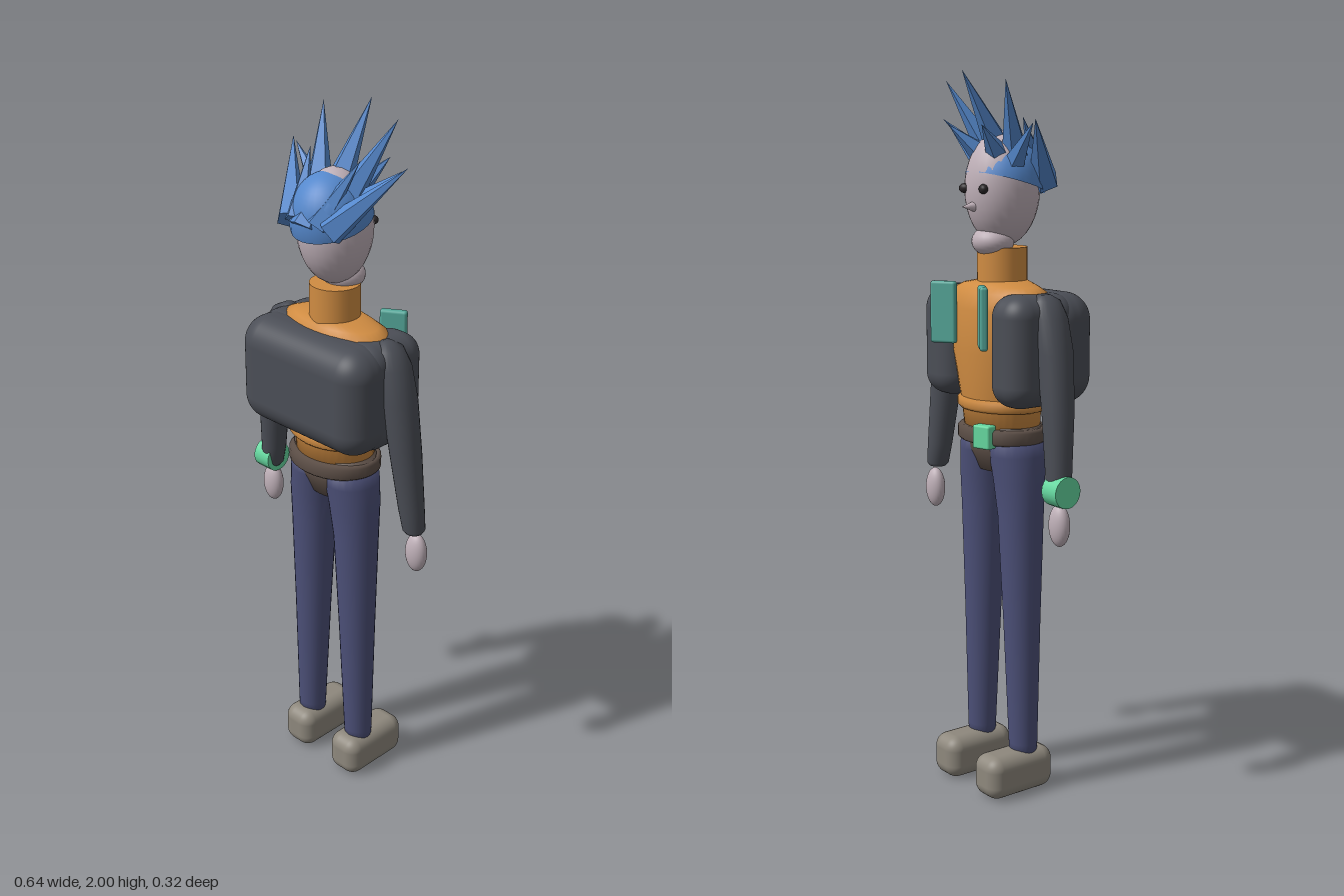
import * as THREE from 'three';
import { RoundedBoxGeometry } from 'three/addons/geometries/RoundedBoxGeometry.js';

const COLORS = {
  skin: 0xbfb0b8, hair: 0x5588cc, shirt: 0xd08c42, jacket: 0x4b4e56, jeans: 0x4c5078,
  belt: 0x5e5048, shoe: 0x8e887d, teal: 0x55a89a, green: 0x66d8a0, eye: 0x2a2628,
};

// Closed loft through oval cross-sections [x, y, z, rx, rz], listed from bottom to top
function loft(sections, n = 24) {
  const first = sections[0], last = sections[sections.length - 1];
  const rings = [[first[0], first[1], first[2], 0, 0], ...sections, [last[0], last[1], last[2], 0, 0]];
  const pos = [], index = [];
  rings.forEach(([x, y, z, rx, rz], i) => {
    for (let j = 0; j < n; j++) {
      const t = (j / n) * Math.PI * 2;
      pos.push(x + Math.cos(t) * rx, y, z + Math.sin(t) * rz);
      if (i < rings.length - 1) {
        const a = i * n + j, c = i * n + (j + 1) % n;
        index.push(a, a + n, c, c, a + n, c + n);
      }
    }
  });
  const g = new THREE.BufferGeometry();
  g.setAttribute('position', new THREE.Float32BufferAttribute(pos, 3));
  g.setIndex(index);
  g.computeVertexNormals();
  return g;
}

export function createModel() {
  const model = new THREE.Group();
  model.name = 'figure';
  const mats = {};
  for (const key in COLORS) mats[key] = new THREE.MeshStandardMaterial({ color: COLORS[key] });
  const spikeMat = new THREE.MeshStandardMaterial({ color: COLORS.hair, flatShading: true });

  function add(name, geometry, mat, x = 0, y = 0, z = 0) {
    const m = new THREE.Mesh(geometry, mats[mat] || mat);
    m.name = name;
    m.position.set(x, y, z);
    model.add(m);
    return m;
  }
  function ball(name, mat, x, y, z, rx, ry, rz) {
    const m = add(name, new THREE.SphereGeometry(1, 28, 18), mat, x, y, z);
    m.scale.set(rx, ry, rz);
    return m;
  }
  const mirrored = (fn) => [['left', 1], ['right', -1]].forEach(([side, s]) => fn(side, s));
  const mirrorX = (sections, s) => sections.map(([x, ...rest]) => [x * s, ...rest]);

  // Legs and shoes
  const leg = [
    [0.097, 0.10, 0, 0.040, 0.038], [0.097, 0.14, 0, 0.042, 0.040], [0.090, 0.50, 0, 0.053, 0.052],
    [0.084, 0.80, 0, 0.064, 0.064], [0.077, 0.90, 0, 0.072, 0.072], [0.068, 0.97, 0, 0.074, 0.079],
    [0.060, 1.02, 0, 0.072, 0.082],
  ];
  mirrored((side, s) => {
    add(side + 'Leg', loft(mirrorX(leg, s)), 'jeans');
    add(side + 'Shoe', new RoundedBoxGeometry(0.11, 0.122, 0.222, 5, 0.038), 'shoe', s * 0.097, 0.063, -0.034);
  });

  // Hips, belt and buckle
  add('hips', loft([[0, 0.92, 0, 0.085, 0.06], [0, 0.98, 0, 0.125, 0.082], [0, 1.05, 0, 0.134, 0.09]], 32), 'belt');
  add('belt', loft([
    [0, 1.003, 0, 0.133, 0.106], [0, 1.01, 0, 0.141, 0.113],
    [0, 1.038, 0, 0.141, 0.113], [0, 1.046, 0, 0.133, 0.106],
  ], 32), 'belt');
  add('buckle', new RoundedBoxGeometry(0.058, 0.065, 0.035, 2, 0.006), 'green', -0.05, 1.027, -0.1).rotation.y = 0.25;

  // Shirt with ribbed hem and high collar
  add('shirt', loft([
    [0, 1.03, 0, 0.118, 0.095], [0, 1.12, -0.003, 0.125, 0.103], [0, 1.25, -0.008, 0.16, 0.112],
    [0, 1.37, -0.008, 0.186, 0.108], [0, 1.415, -0.006, 0.182, 0.09], [0, 1.432, -0.004, 0.14, 0.075],
    [0, 1.445, 0, 0.07, 0.066],
  ], 36), 'shirt');
  add('hem', loft([
    [0, 1.092, 0, 0.134, 0.106], [0, 1.1, 0, 0.142, 0.113],
    [0, 1.118, 0, 0.142, 0.113], [0, 1.126, 0, 0.134, 0.106],
  ], 32), 'shirt');
  add('collar', new THREE.CylinderGeometry(0.069, 0.069, 0.135, 28), 'shirt', 0, 1.467, 0);

  // Open jacket: bulky back, two front panels, chest flaps
  add('jacketBack', new RoundedBoxGeometry(0.458, 0.303, 0.165, 8, 0.075), 'jacket', 0, 1.268, 0.078);
  mirrored((side, s) => {
    add(side + 'JacketFront', new RoundedBoxGeometry(0.145, 0.303, 0.225, 7, 0.06), 'jacket', s * 0.152, 1.268, -0.013);
    add(side + 'ChestFlap', new RoundedBoxGeometry(0.075, 0.17, 0.022, 3, 0.008), 'teal', s * 0.089, 1.357, -0.133)
      .rotation.y = s * 0.55;
  });

  // Sleeves and hands
  const sleeve = [
    [0.282, 0.880, -0.022, 0.024, 0.024], [0.281, 0.890, -0.022, 0.031, 0.032], [0.272, 0.95, -0.02, 0.036, 0.036],
    [0.255, 1.12, -0.01, 0.044, 0.044], [0.235, 1.27, -0.004, 0.048, 0.050], [0.212, 1.36, -0.004, 0.046, 0.050],
    [0.195, 1.405, -0.004, 0.034, 0.040], [0.185, 1.42, -0.004, 0.015, 0.018],
  ];
  mirrored((side, s) => {
    add(side + 'Sleeve', loft(mirrorX(sleeve, s)), 'jacket');
    ball(side + 'Hand', 'skin', s * 0.286, 0.815, -0.028, 0.034, 0.058, 0.025);
  });
  add('wristband', new THREE.CylinderGeometry(0.043, 0.043, 0.058, 20), 'green', -0.287, 0.908, -0.024)
    .rotation.z = Math.PI / 2;

  // Head and face
  ball('head', 'skin', 0, 1.69, 0, 0.1, 0.155, 0.104);
  ball('chin', 'skin', 0, 1.55, -0.032, 0.06, 0.042, 0.057);
  add('nose', new THREE.ConeGeometry(0.016, 0.045, 12), 'skin', 0, 1.645, -0.113).rotation.x = -Math.PI / 2;
  mirrored((side, s) => {
    ball(side + 'Eye', 'eye', s * 0.042, 1.692, -0.095, 0.017, 0.013, 0.012).rotation.y = s * 0.35;
  });

  // Hair: tilted cap with swept spikes
  const cap = add('hairCap', new THREE.SphereGeometry(1, 28, 14, 0, Math.PI * 2, 0, Math.PI / 2),
    new THREE.MeshStandardMaterial({ color: COLORS.hair, side: THREE.DoubleSide }), 0, 1.705, 0.01);
  cap.scale.set(0.108, 0.135, 0.113);
  cap.rotation.x = 0.28;

  const up = new THREE.Vector3(0, 1, 0);
  function spike(base, tip, radius, sides = 5) {
    const a = new THREE.Vector3(...base), b = new THREE.Vector3(...tip);
    const dir = b.clone().sub(a);
    const m = add('hairSpike', new THREE.ConeGeometry(radius, dir.length(), sides), spikeMat);
    m.position.copy(a).add(b).multiplyScalar(0.5);
    m.quaternion.setFromUnitVectors(up, dir.normalize());
  }
  spike([0, 1.78, 0.0], [0, 2.0, -0.133], 0.042);
  spike([0, 1.71, 0.11], [0, 1.84, 0.02], 0.042, 6);
  mirrored((side, s) => {
    spike([s * 0.05, 1.77, 0.01], [s * 0.132, 1.975, -0.09], 0.04);
    spike([s * 0.068, 1.71, 0.09], [s * 0.205, 1.875, -0.05], 0.042);
    spike([s * 0.06, 1.75, -0.01], [s * 0.19, 1.865, -0.045], 0.034);
    spike([s * 0.035, 1.78, -0.04], [s * 0.075, 1.86, -0.125], 0.034);
    spike([s * 0.035, 1.72, 0.1], [s * 0.09, 1.88, 0.0], 0.036);
  });
  return model;
}
